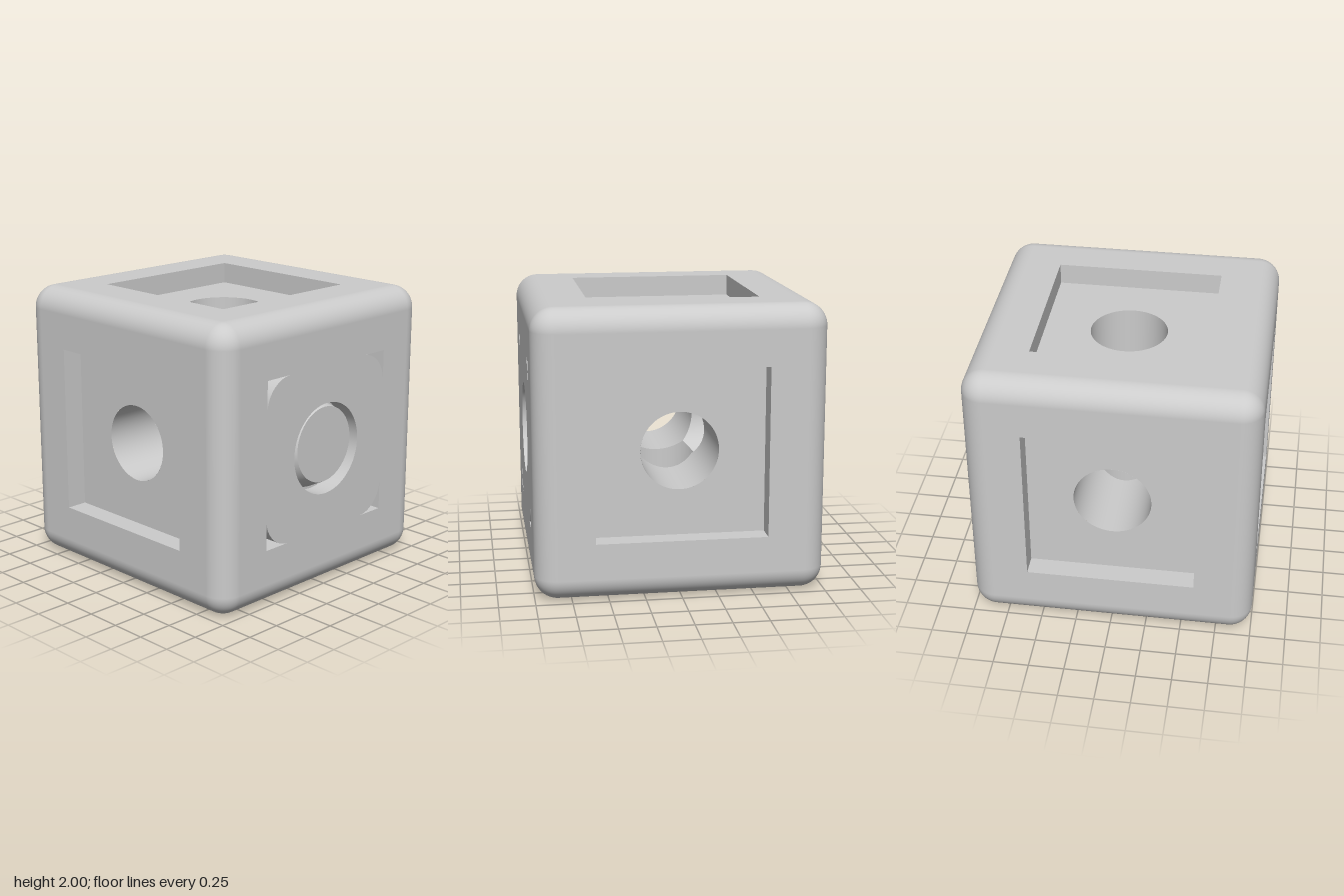
import * as THREE from 'three';
import { RoundedBoxGeometry } from 'three/addons/geometries/RoundedBoxGeometry.js';
import { toCreasedNormals } from 'three/addons/utils/BufferGeometryUtils.js';

const EDGE = 0.16;     // rounding of the block
const POCKET = 0.59;   // half width of the square pockets
const FLOOR = 0.85;    // distance of pocket floors from the centre
const BORE = 0.27;     // radius of the through holes
const SOCKET = 0.325;  // radius of the opening in the cover

const material = new THREE.MeshStandardMaterial({ color: 0xcccccc });
const twoSided = new THREE.MeshStandardMaterial({ color: 0xcccccc, side: THREE.DoubleSide });

function add(parent, name, geometry, mat = material) {
  const mesh = new THREE.Mesh(geometry, mat);
  mesh.name = name;
  parent.add(mesh);
  return mesh;
}

// Square outline with optional corner radius
function square(h, r = 0) {
  const s = new THREE.Shape();
  if (r === 0) {
    s.moveTo(-h, -h).lineTo(h, -h).lineTo(h, h).lineTo(-h, h).closePath();
  } else {
    const c = h - r;
    s.absarc(c, -c, r, -Math.PI / 2, 0);
    s.absarc(c, c, r, 0, Math.PI / 2);
    s.absarc(-c, c, r, Math.PI / 2, Math.PI);
    s.absarc(-c, -c, r, Math.PI, Math.PI * 1.5);
    s.closePath();
  }
  return s;
}

const circle = (r) => new THREE.Path().absarc(0, 0, r, 0, Math.PI * 2, true);

// Rounded edges and corners only: the flat middle of every side is left out
function roundedEdges() {
  const source = new RoundedBoxGeometry(2, 2, 2, 8, EDGE);
  const g = source.index ? source.toNonIndexed() : source;
  const p = g.attributes.position.array, n = g.attributes.normal.array;
  const positions = [], normals = [];
  for (let i = 0; i < p.length; i += 9) {
    const flat = [0, 1, 2].some((a) => [0, 3, 6].every((v) => Math.abs(p[i + v + a]) > 0.9999));
    if (flat) continue;
    positions.push(...p.slice(i, i + 9));
    normals.push(...n.slice(i, i + 9));
  }
  const out = new THREE.BufferGeometry();
  out.setAttribute('position', new THREE.Float32BufferAttribute(positions, 3));
  out.setAttribute('normal', new THREE.Float32BufferAttribute(normals, 3));
  return out;
}

// Bore wall, ending where it meets the two crossing bores
function boreWall() {
  const g = new THREE.CylinderGeometry(BORE, BORE, 1, 64, 1, true).rotateX(Math.PI / 2);
  const p = g.attributes.position;
  for (let i = 0; i < p.count; i++) {
    const inner = Math.max(Math.abs(p.getX(i)), Math.abs(p.getY(i)));
    p.setZ(i, p.getZ(i) > 0 ? FLOOR : inner);
  }
  return g;
}

// One side of the block, facing +z
function pocketSide(name) {
  const side = new THREE.Group();
  side.name = name;

  const frame = square(1 - EDGE);
  frame.holes.push(square(POCKET));
  add(side, 'frame', new THREE.ShapeGeometry(frame).translate(0, 0, 1));

  for (let i = 0; i < 4; i++) {
    add(side, 'pocketWall', new THREE.PlaneGeometry(POCKET * 2, 1 - FLOOR)
      .rotateX(-Math.PI / 2)
      .translate(0, -POCKET, (1 + FLOOR) / 2)
      .rotateZ(i * Math.PI / 2));
  }

  const floor = square(POCKET);
  floor.holes.push(circle(BORE));
  add(side, 'pocketFloor', new THREE.ShapeGeometry(floor, 64).translate(0, 0, FLOOR));
  add(side, 'bore', boreWall(), twoSided);
  return side;
}

// Rounded cover filling one pocket, with a tilted button in its socket
function coverWithButton() {
  const group = new THREE.Group();
  group.name = 'cover';

  const plate = square(POCKET, 0.22);
  plate.holes.push(circle(SOCKET));
  const body = new THREE.ExtrudeGeometry(plate, { depth: 1 - FLOOR, bevelEnabled: false, curveSegments: 32 });
  add(group, 'coverPlate', toCreasedNormals(body, 0.6).translate(0, 0, FLOOR));
  add(group, 'socketFloor', new THREE.CircleGeometry(SOCKET, 64).translate(0, 0, FLOOR + 0.005), twoSided);

  // Button leans sideways and slightly up
  const height = 0.1;
  const button = new THREE.CylinderGeometry(BORE, 0.31, height, 64).rotateX(Math.PI / 2);
  const p = button.attributes.position;
  for (let i = 0; i < p.count; i++) {
    const t = p.getZ(i) / height + 0.5;
    p.setXYZ(i, p.getX(i) + 0.03 * t, p.getY(i) + 0.01 * t, p.getZ(i) + FLOOR + height / 2);
  }
  add(group, 'button', toCreasedNormals(button, 0.6));
  return group;
}

export function createModel() {
  const model = new THREE.Group();
  model.name = 'hollowBlock';

  const block = new THREE.Group();
  block.name = 'block';
  block.position.y = 1;
  model.add(block);

  add(block, 'roundedEdges', roundedEdges());

  const q = Math.PI / 2;
  const sides = [
    ['frontSide', 0, 0], ['leftSide', 0, q], ['backSide', 0, 2 * q],
    ['rightSide', 0, -q], ['topSide', -q, 0], ['bottomSide', q, 0],
  ];
  for (const [name, rx, ry] of sides) {
    const side = pocketSide(name);
    side.rotation.set(rx, ry, 0);
    if (name === 'leftSide') side.add(coverWithButton());
    block.add(side);
  }
  return model;
}
